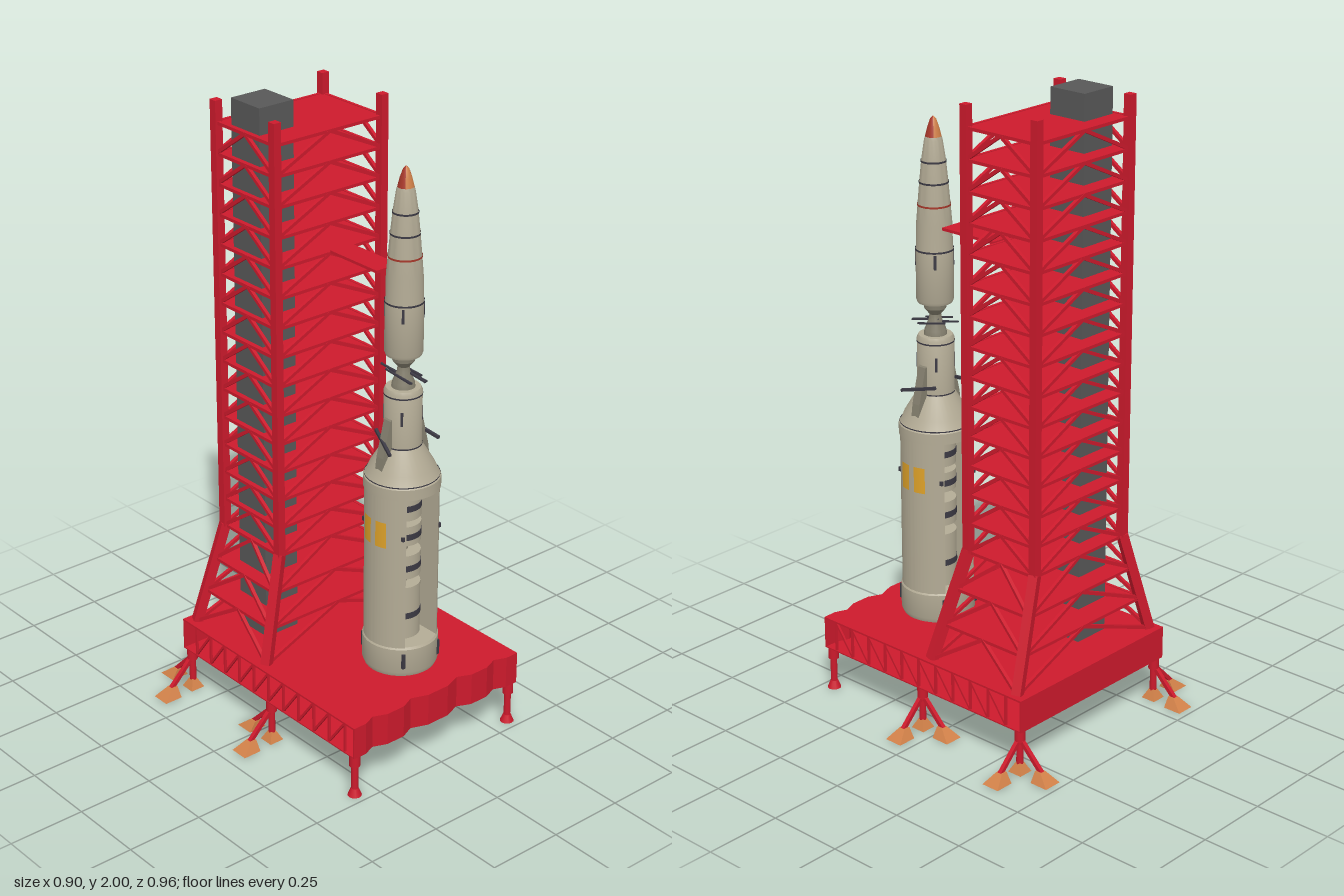
import * as THREE from 'three';
import { toCreasedNormals } from 'three/addons/utils/BufferGeometryUtils.js';

const mat = (color) => new THREE.MeshStandardMaterial({ color, side: THREE.DoubleSide });
const RED = mat(0xcc1a2c), GREY = mat(0x585858), HULL = mat(0xb3ab95), SHADE = mat(0x85806f);
const DARK = mat(0x3c3a44), GOLD = mat(0xe0a32a), COPPER = mat(0xd08048), TIP = mat(0xa8382a);

function add(parent, name, geo, material, x = 0, y = 0, z = 0) {
  const m = new THREE.Mesh(geo, material);
  m.name = name;
  m.position.set(x, y, z);
  parent.add(m);
  return m;
}
const box = (p, name, material, w, h, d, x, y, z) => add(p, name, new THREE.BoxGeometry(w, h, d), material, x, y, z);

// square bar between two points
function beam(p, name, a, b, t, material = RED) {
  const d = b.clone().sub(a);
  const m = box(p, name, material, t, t, d.length(), 0, 0, 0);
  m.position.copy(a).add(b).multiplyScalar(0.5);
  m.lookAt(b);
  return m;
}
const V = (x, y, z) => new THREE.Vector3(x, y, z);

// plan outline (x, z) extruded upwards from y0 to y1
function slab(p, name, points, y0, y1, material) {
  const shape = new THREE.Shape(points.map(([x, z]) => new THREE.Vector2(x, -z)));
  const g = new THREE.ExtrudeGeometry(shape, { depth: y1 - y0, bevelEnabled: false }).rotateX(-Math.PI / 2);
  return add(p, name, g, material, 0, y0, 0);
}

function lathe(p, name, pts, material, segments = 32) {
  const g = new THREE.LatheGeometry(pts.map(([r, y]) => new THREE.Vector2(r, y)), segments);
  return add(p, name, toCreasedNormals(g, 0.5), material);
}

function buildPlatform() {
  const g = new THREE.Group();
  g.name = 'platform';
  const half = [[0.04, 0.48], [0.095, 0.46], [0.14, 0.48], [0.205, 0.48], [0.25, 0.462], [0.29, 0.478], [0.336, 0.478]];
  const front = [...half.map(([x, z]) => [-x, z]).reverse(), ...half];
  const plan = [...front, [0.336, -0.365], [-0.336, -0.365]];
  slab(g, 'deck', plan, 0.244, 0.25, RED);
  slab(g, 'underside', plan, 0.143, 0.147, RED);
  slab(g, 'wavyFrontWall', [...front, ...front.map(([x, z]) => [x, z - 0.006]).reverse()], 0.145, 0.248, RED);
  box(g, 'backWall', RED, 0.672, 0.103, 0.005, 0, 0.1965, -0.3625);
  // open truss along both sides
  for (const s of [-1, 1]) for (let i = 0; i <= 10; i++) {
    const z = 0.43 - i * 0.073, x = s * 0.331;
    beam(g, 'sideTrussPost', V(x, 0.147, z), V(x, 0.246, z), 0.007);
    if (i < 10) beam(g, 'sideTrussDiagonal', V(x, 0.246, z), V(x, 0.147, z - 0.073), 0.007);
  }
  return g;
}

// pyramid pad whose top leans back towards its leg
function pad(p, x, z, dx, dz, size) {
  const geo = new THREE.CylinderGeometry(size * 0.5, size * 1.41, 0.032, 4).toNonIndexed().rotateY(Math.PI / 4);
  const pos = geo.attributes.position;
  for (let i = 0; i < pos.count; i++) if (pos.getY(i) > 0) {
    pos.setX(i, pos.getX(i) - dx * 0.02);
    pos.setZ(i, pos.getZ(i) - dz * 0.02);
  }
  geo.computeVertexNormals();
  add(p, 'footPad', geo, COPPER, x, 0.016, z);
}

function buildSupports() {
  const g = new THREE.Group();
  g.name = 'supportLegs';
  for (const s of [-1, 1]) for (const z of [0.46, 0.062, -0.345]) {
    const x = s * 0.318, isFront = z > 0.4;
    add(g, 'legTube', new THREE.CylinderGeometry(0.011, 0.011, 0.13, 12), RED, x, 0.08, z);
    add(g, 'legSleeve', new THREE.CylinderGeometry(0.017, 0.017, 0.04, 12), RED, x, 0.125, z);
    if (isFront) {
      add(g, 'legFoot', new THREE.CylinderGeometry(0.012, 0.022, 0.025, 12), RED, x, 0.0125, z);
      continue;
    }
    pad(g, x, z, 0, 0, 0.025);
    // raking braces, one sideways and one backwards
    for (const [dx, dz] of [[s, 0], [0, -1]]) {
      beam(g, 'legBrace', V(x, 0.115, z), V(x + dx * 0.09, 0.025, z + dz * 0.09), 0.013);
      pad(g, x + dx * 0.102, z + dz * 0.102, dx, dz, 0.031);
    }
  }
  return g;
}

function buildTower() {
  const g = new THREE.Group();
  g.name = 'serviceTower';
  const BEND = 0.585;
  // centre of a corner post at height y, flared below the bend
  const corner = (sx, sz, y) => {
    const k = Math.max(0, (BEND - y) / (BEND - 0.25));
    return V(sx > 0 ? 0.191 + 0.122 * k : -0.215 - 0.09 * k, y, sz > 0 ? -0.018 + 0.042 * k : -0.289 - 0.041 * k);
  };
  const order = [[-1, 1], [1, 1], [1, -1], [-1, -1]];
  for (const [sx, sz] of order) {
    beam(g, 'flaredPost', corner(sx, sz, 0.25), corner(sx, sz, BEND + 0.005), 0.03);
    const c = corner(sx, sz, 1);
    box(g, 'cornerPost', RED, 0.026, 1.985 - BEND, 0.026, c.x, (1.985 + BEND) / 2, c.z);
  }
  const levels = [0.25, 0.36, 0.47];
  for (let i = 0; i < 15; i++) levels.push(BEND + i * 0.095);
  levels.forEach((y, i) => {
    if (i === 0) return;
    const c = order.map(([sx, sz]) => corner(sx, sz, y));
    slab(g, 'floor', c.map((v) => [v.x, v.z]), y - 0.003, y + 0.003, RED);
    // edge beam and chevron bracing on each face
    for (let k = 0; k < 4; k++) {
      const a = c[k], b = c[(k + 1) % 4], n = (k + 1) % 4;
      beam(g, 'edgeBeam', a, b, 0.01);
      const apex = a.clone().add(b).multiplyScalar(0.5);
      for (const q of [k, n]) beam(g, 'chevronBrace', corner(...order[q], levels[i - 1]), apex, 0.011);
    }
  });
  box(g, 'liftShaft', GREY, 0.126, 1.75, 0.131, -0.138, 1.125, -0.17);
  box(g, 'swingArm', RED, 0.084, 0.009, 0.21, 0.029, 1.54, 0.09);
  return g;
}

function buildRocket() {
  const g = new THREE.Group();
  g.name = 'rocket';
  g.position.set(0.039, 0, 0.259);

  // lower stage: base ring, two side shells, exposed tanks, top band
  lathe(g, 'baseRing', [[0, 0.25], [0.112, 0.25], [0.118, 0.265], [0.118, 0.345], [0.113, 0.352], [0, 0.352]], HULL);
  const half = 0.6;
  const segment = new THREE.Shape();
  segment.absarc(0, 0, 0.114, -half * 1.62, half * 1.62, false);
  segment.closePath();
  const shell = toCreasedNormals(
    new THREE.ExtrudeGeometry(segment, { depth: 0.52, bevelEnabled: false, curveSegments: 20 }).rotateX(-Math.PI / 2), 0.5);
  for (const r of [0, Math.PI]) add(g, 'sideShell', shell, HULL, 0, 0.348, 0).rotation.y = r;
  for (const [y0, y1] of [[0.35, 0.53], [0.56, 0.64], [0.675, 0.74], [0.76, 0.85]]) {
    add(g, 'tank', new THREE.CylinderGeometry(0.06, 0.06, y1 - y0, 32), HULL, 0, (y0 + y1) / 2, 0);
    add(g, 'tankBand', new THREE.CylinderGeometry(0.0615, 0.0615, 0.02, 32), DARK, 0, y0 + (y1 - y0) * 0.45, 0);
  }
  add(g, 'tankCore', new THREE.CylinderGeometry(0.02, 0.02, 0.53, 16), SHADE, 0, 0.61, 0);
  lathe(g, 'shoulder', [[0, 0.855], [0.118, 0.86], [0.118, 0.895], [0.11, 0.905], [0.1, 0.93], [0.058, 1.0],
    [0.058, 1.175], [0.053, 1.185], [0, 1.185]], HULL);
  for (const y of [0.9, 1.0, 1.165]) {
    const r = y < 0.95 ? 0.115 : 0.0592;
    add(g, 'seam', new THREE.CylinderGeometry(r, r, 0.005, 32, 1, true), DARK, 0, y, 0);
  }
  // gold windows and sloped fairings on both sides
  const fairing = new THREE.Shape([[0.05, 0.95], [0.096, 0.93], [0.09, 0.975], [0.062, 1.09], [0.05, 1.1]].map((p) => new THREE.Vector2(...p)));
  const fairingGeo = new THREE.ExtrudeGeometry(fairing, { depth: 0.03, bevelEnabled: false }).translate(0, 0, -0.015);
  for (const r of [0, Math.PI]) {
    const side = new THREE.Group();
    side.name = 'sideDetails';
    side.rotation.y = r;
    g.add(side);
    add(side, 'fairing', fairingGeo, SHADE);
    beam(side, 'fairingStrip', V(0.093, 0.96, 0), V(0.064, 1.085, 0), 0.009, DARK);
    for (const s of [-1, 1]) {
      add(side, 'goldWindow', new THREE.CylinderGeometry(0.1155, 0.1155, 0.085, 8, 1, true, Math.PI / 2 + s * 0.26 - 0.17, 0.34), GOLD, 0, 0.735, 0);
      box(side, 'shellLatch', DARK, 0.008, 0.014, 0.014, 0.073, 0.73, s * 0.087);
      box(side, 'baseLatch', DARK, 0.01, 0.05, 0.012, 0.07, 0.305, s * 0.093);
    }
  }
  // slots around both upper hulls
  for (let i = 0; i < 4; i++) {
    const a = Math.PI / 4 + i * Math.PI / 2;
    for (const y of [1.1, 1.43]) {
      box(g, 'slot', DARK, 0.008, 0.045, 0.006, Math.sin(a) * 0.0565, y, Math.cos(a) * 0.0565).rotation.y = a;
    }
  }

  // open joint between the stages
  lathe(g, 'engineBell', [[0.036, 1.185], [0.034, 1.2], [0.02, 1.235], [0.018, 1.25], [0.034, 1.27], [0.036, 1.29], [0, 1.305]], SHADE, 24);
  for (let i = 0; i < 8; i++) {
    const a = i * Math.PI / 4, b = a + (i % 2 ? -1 : 1) * Math.PI / 4;
    beam(g, 'jointStrut', V(Math.sin(a) * 0.04, 1.18, Math.cos(a) * 0.04), V(Math.sin(b) * 0.03, 1.275, Math.cos(b) * 0.03), 0.005, DARK);
  }

  // upper stage and nose
  lathe(g, 'upperStage', [[0, 1.29], [0.054, 1.29], [0.058, 1.3], [0.058, 1.45], [0.056, 1.47], [0.055, 1.54], [0.05, 1.6],
    [0.044, 1.67], [0.037, 1.74], [0.028, 1.8], [0.025, 1.81]], HULL);
  for (const [r, y] of [[0.0595, 1.46], [0.0515, 1.6], [0.0455, 1.67], [0.039, 1.735]]) {
    add(g, 'noseRing', new THREE.CylinderGeometry(r, r, 0.006, 32, 1, true), y === 1.6 ? TIP : DARK, 0, y, 0);
  }
  // nose cap in alternating coloured quarters
  const cap = [[0.026, 1.805], [0.018, 1.838], [0.009, 1.864], [0, 1.873]].map((p) => new THREE.Vector2(...p));
  for (let i = 0; i < 4; i++) {
    add(g, 'noseCap', new THREE.LatheGeometry(cap, 8, -Math.PI / 4 + i * Math.PI / 2, Math.PI / 2), i % 2 ? TIP : COPPER);
  }
  return g;
}

export function createModel() {
  const model = new THREE.Group();
  model.name = 'launchPad';
  model.add(buildPlatform(), buildSupports(), buildTower(), buildRocket());
  return model;
}
